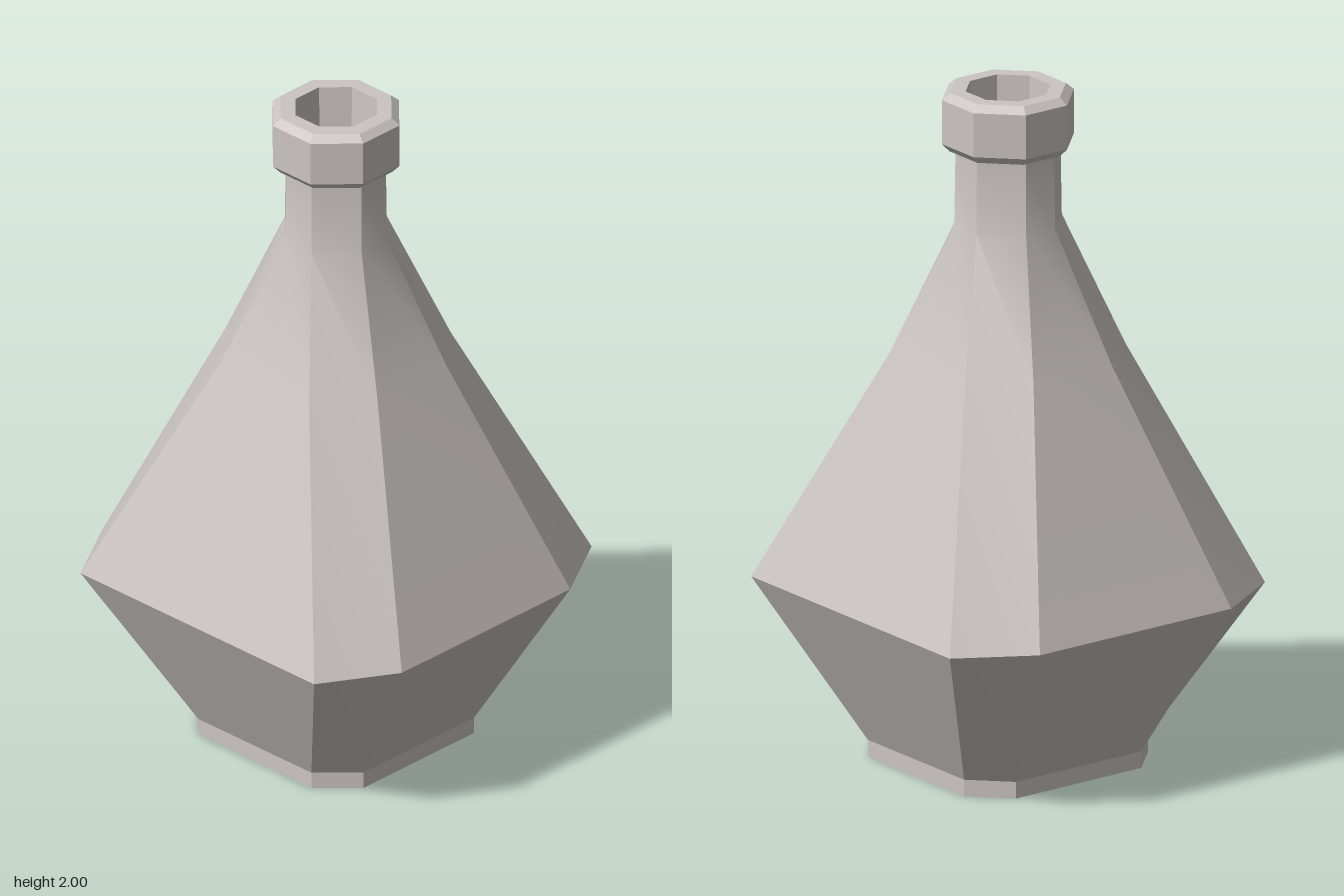
import * as THREE from 'three';
import { toCreasedNormals } from 'three/addons/utils/BufferGeometryUtils.js';

// Eight corners of a chamfered rectangle: side faces at x = ±hx (half width hz),
// front and back faces at z = ±fz (half width fx)
function ring([y, hx, hz, fx, fz]) {
  return [
    [hx, hz], [fx, fz], [-fx, fz], [-hx, hz],
    [-hx, -hz], [-fx, -fz], [fx, -fz], [hx, -hz],
  ].map(([x, z]) => [x, y, z]);
}

// Skins the sections in order; a section of zero size closes the end
function loft(sections) {
  const rings = sections.map(ring);
  const pos = [];
  for (let s = 0; s < rings.length - 1; s++) {
    for (let i = 0; i < 8; i++) {
      const j = (i + 1) % 8;
      const a = rings[s][i], b = rings[s][j];
      const c = rings[s + 1][j], d = rings[s + 1][i];
      if (sections[s + 1][1] > 0) pos.push(...a, ...d, ...c);
      if (sections[s][1] > 0) pos.push(...a, ...c, ...b);
    }
  }
  const geometry = new THREE.BufferGeometry();
  geometry.setAttribute('position', new THREE.Float32BufferAttribute(pos, 3));
  return toCreasedNormals(geometry, 0.42);
}

// Section that is equal in x and z
const even = (y, r, c) => [y, r, c, c, r];

export function createModel() {
  const model = new THREE.Group();
  model.name = 'bottle';
  const glass = new THREE.MeshStandardMaterial({ color: 0xccc4c4 });

  const add = (name, sections) => {
    const mesh = new THREE.Mesh(loft(sections), glass);
    mesh.name = name;
    model.add(mesh);
  };

  // Foot, flared belly, shoulder and neck
  add('body', [
    even(0, 0, 0),
    even(0, 0.33, 0.225),
    even(0.05, 0.33, 0.225),
    [0.525, 0.565, 0.465, 0.343, 0.597],
    [1.22, 0.288, 0.175, 0.14, 0.302],
    even(1.605, 0.153, 0.052),
    even(1.83, 0.15, 0.05),
  ]);

  // Bevelled collar with the recessed mouth
  add('collar', [
    even(1.825, 0.148, 0.05),
    even(1.825, 0.16, 0.066),
    even(1.848, 0.18, 0.074),
    even(1.98, 0.18, 0.074),
    even(2, 0.158, 0.065),
    even(2, 0.115, 0.048),
    even(1.83, 0.108, 0.045),
    even(1.83, 0, 0),
  ]);

  return model;
}
